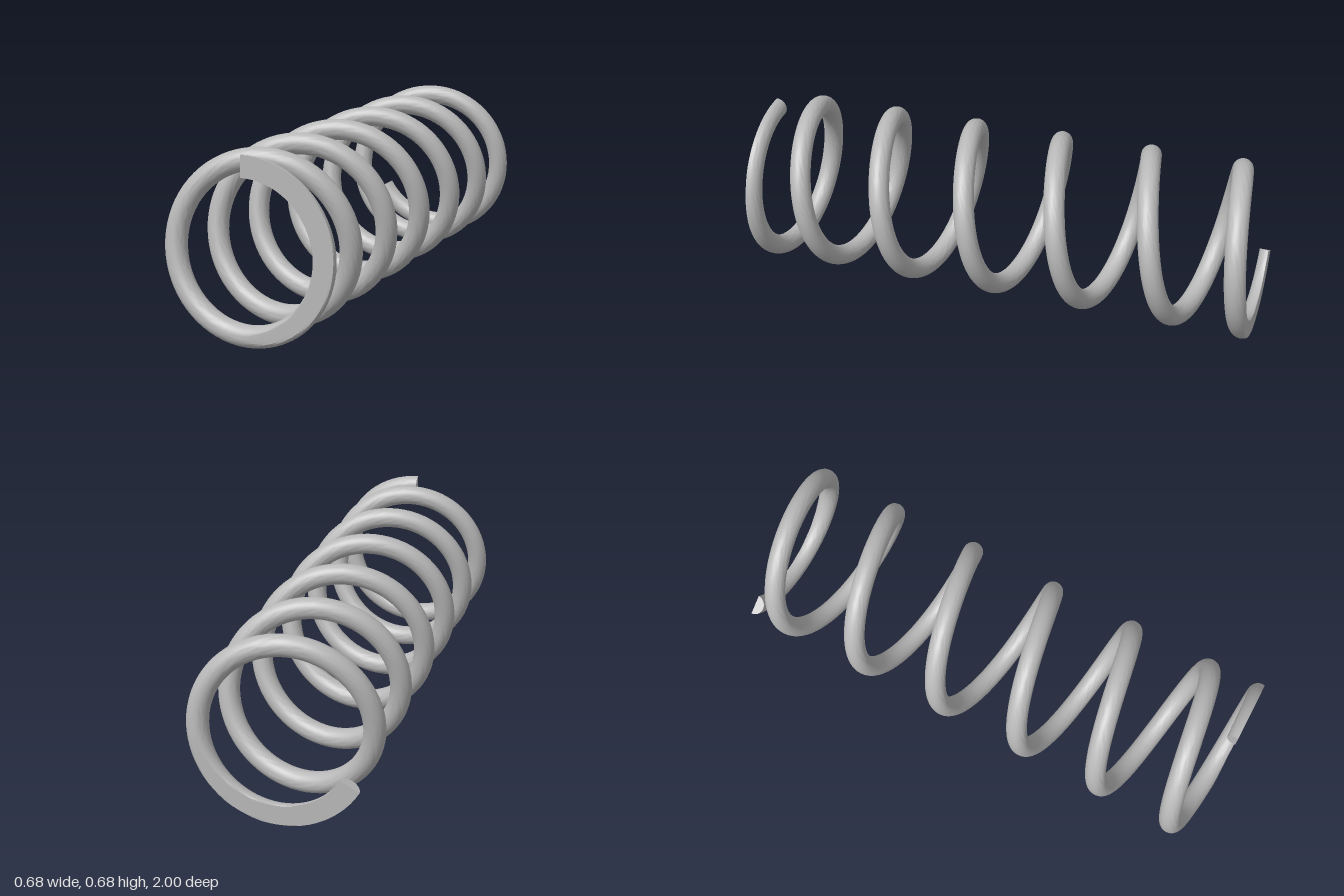
import * as THREE from 'three';
import { toCreasedNormals } from 'three/addons/utils/BufferGeometryUtils.js';

const COIL_RADIUS = 0.3, WIRE_RADIUS = 0.04, CENTRE_Y = 0.34, HALF_LENGTH = 1;
const TURNS = 6.667, STEPS = 480, SIDES = 32;

// Position along the axis at every half turn; the pitch closes up at both ends
const AXIAL = [1, 0.96, 0.84, 0.675, 0.511, 0.34, 0.166, -0.013, -0.193,
  -0.375, -0.553, -0.735, -0.904, -0.988, -1.01];
const axialSpline = new THREE.SplineCurve(AXIAL.map((z, i) => new THREE.Vector2(i / 2, z)));

function axialAt(turn) {
  const u = THREE.MathUtils.clamp(turn / ((AXIAL.length - 1) / 2), 0, 1);
  return axialSpline.getPoint(u).y;
}

function coilPoint(turn) {
  const a = turn * Math.PI * 2;
  return new THREE.Vector3(
    COIL_RADIUS * Math.sin(a), CENTRE_Y + COIL_RADIUS * Math.cos(a), axialAt(turn));
}

// Grind the wire flat at both ends of the spring
function grind(p) {
  p.z = THREE.MathUtils.clamp(p.z, -HALF_LENGTH, HALF_LENGTH);
  return p;
}

function springGeometry() {
  const positions = [], index = [];

  // Round sections swept square to the helix
  for (let i = 0; i <= STEPS; i++) {
    const turn = (i / STEPS) * TURNS, a = turn * Math.PI * 2;
    const centre = coilPoint(turn);
    const radial = new THREE.Vector3(Math.sin(a), Math.cos(a), 0);
    const slope = (axialAt(turn + 0.01) - axialAt(Math.max(0, turn - 0.01))) / 0.02;
    const tangent = new THREE.Vector3(
      Math.cos(a), -Math.sin(a), slope / (Math.PI * 2 * COIL_RADIUS)).normalize();
    const binormal = new THREE.Vector3().crossVectors(tangent, radial);
    for (let j = 0; j < SIDES; j++) {
      const b = (j / SIDES) * Math.PI * 2;
      const p = centre.clone()
        .addScaledVector(radial, WIRE_RADIUS * Math.cos(b))
        .addScaledVector(binormal, WIRE_RADIUS * Math.sin(b));
      positions.push(...grind(p).toArray());
    }
  }
  for (let i = 0; i < STEPS; i++) {
    for (let j = 0; j < SIDES; j++) {
      const k = (j + 1) % SIDES;
      const a = i * SIDES + j, b = i * SIDES + k;
      index.push(a, b, a + SIDES, b, b + SIDES, a + SIDES);
    }
  }

  // Cut faces of the wire
  const startCentre = positions.length / 3, endCentre = startCentre + 1;
  positions.push(...grind(coilPoint(0)).toArray(), ...grind(coilPoint(TURNS)).toArray());
  const last = STEPS * SIDES;
  for (let j = 0; j < SIDES; j++) {
    const k = (j + 1) % SIDES;
    index.push(startCentre, k, j, endCentre, last + j, last + k);
  }

  const geometry = new THREE.BufferGeometry();
  geometry.setAttribute('position', new THREE.Float32BufferAttribute(positions, 3));
  geometry.setIndex(index);
  return toCreasedNormals(geometry, 0.45);
}

export function createModel() {
  const steel = new THREE.MeshStandardMaterial({ color: 0xb8b8b8 });
  steel.name = 'steel grey';

  const group = new THREE.Group();
  group.name = 'compressionSpring';
  const coil = new THREE.Mesh(springGeometry(), steel);
  coil.name = 'coil';
  group.add(coil);
  return group;
}
